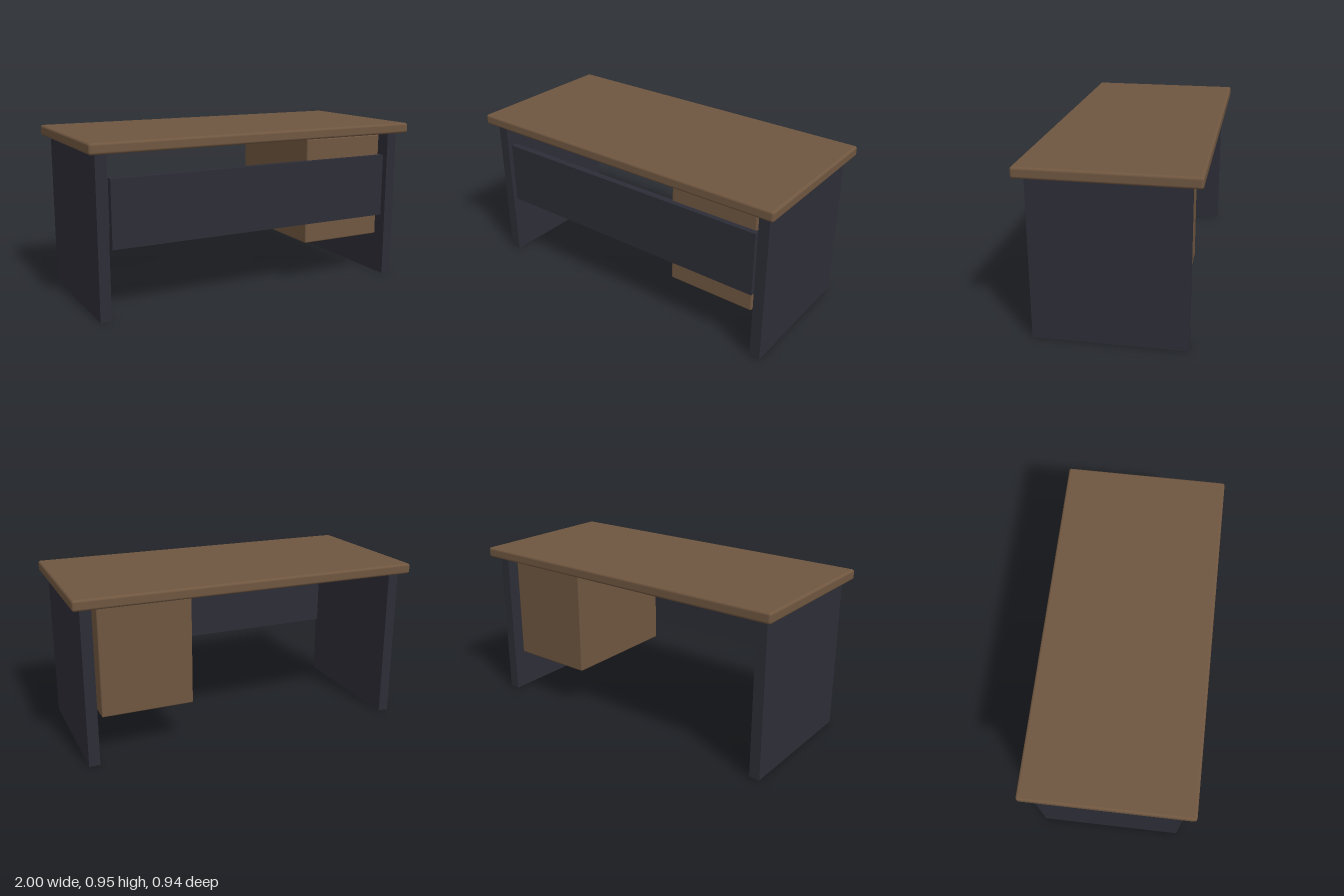
import * as THREE from 'three';
import { RoundedBoxGeometry } from 'three/addons/geometries/RoundedBoxGeometry.js';

export function createModel() {
  const desk = new THREE.Group();
  desk.name = 'desk';

  const wood = new THREE.MeshStandardMaterial({ color: 0x6f5640 });
  wood.name = 'brown wood';
  const dark = new THREE.MeshStandardMaterial({ color: 0x2d2d37 });
  dark.name = 'dark grey';

  // Adds a block given its extents; a radius rounds its edges
  function block(name, material, [x0, x1], [y0, y1], [z0, z1], radius = 0) {
    const size = [x1 - x0, y1 - y0, z1 - z0];
    const geometry = radius
      ? new RoundedBoxGeometry(...size, 3, radius)
      : new THREE.BoxGeometry(...size);
    const mesh = new THREE.Mesh(geometry, material);
    mesh.name = name;
    mesh.position.set((x0 + x1) / 2, (y0 + y1) / 2, (z0 + z1) / 2);
    desk.add(mesh);
  }

  // Table top with softened edges
  block('tableTop', wood, [-1, 1], [0.89, 0.95], [-0.468, 0.468], 0.014);

  // Slab legs at both ends
  block('leftLeg', dark, [0.893, 0.955], [0, 0.892], [-0.412, 0.412]);
  block('rightLeg', dark, [-0.955, -0.893], [0, 0.892], [-0.412, 0.412]);

  // Panel across the front
  block('frontPanel', dark, [-0.873, 0.873], [0.38, 0.754], [0.361, 0.4]);

  // Hanging drawer cabinet
  block('drawerCabinet', wood, [0.337, 0.86], [0.255, 0.878], [-0.372, 0.37], 0.008);

  return desk;
}
